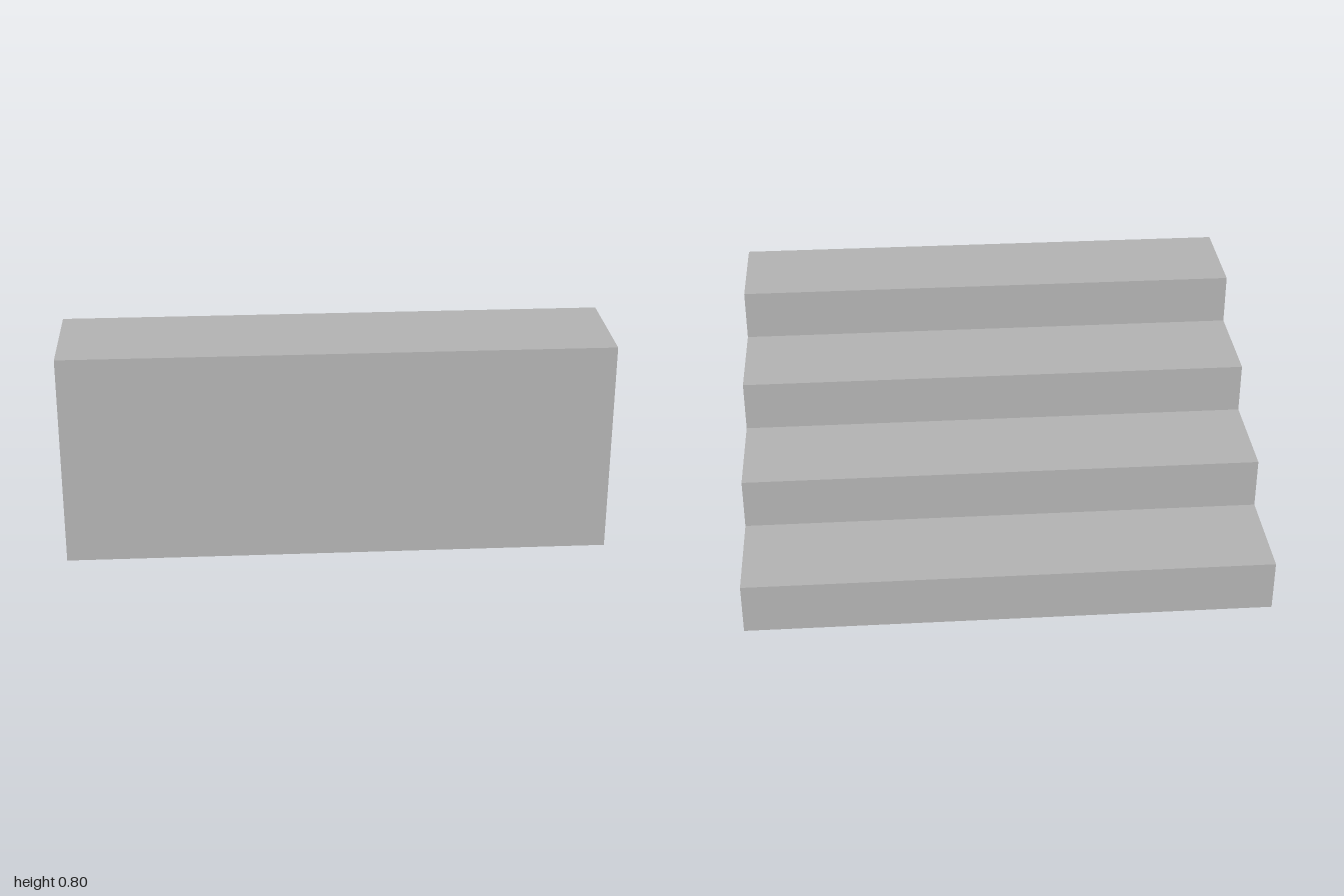
import * as THREE from 'three';

const STEPS = 4, WIDTH = 2, RISE = 0.2, TREAD = 0.4;

export function createModel() {
  const group = new THREE.Group();
  group.name = 'staircase';

  const stone = new THREE.MeshStandardMaterial({ color: 0xb2b2b2 });
  stone.name = 'grey stone';

  // Stepped side profile: tall at the front (+z), descending to the back
  const half = (STEPS * TREAD) / 2;
  const profile = new THREE.Shape();
  profile.moveTo(-half, 0);
  profile.lineTo(half, 0);
  for (let i = 0; i < STEPS; i++) {
    const y = (i + 1) * RISE;
    profile.lineTo(half - i * TREAD, y);
    profile.lineTo(half - (i + 1) * TREAD, y);
  }
  profile.closePath();

  // Extrude across the width; the turn maps profile x to -z
  const geometry = new THREE.ExtrudeGeometry(profile, { depth: WIDTH, bevelEnabled: false });
  geometry.translate(0, 0, -WIDTH / 2);
  geometry.rotateY(Math.PI / 2);

  const steps = new THREE.Mesh(geometry, stone);
  steps.name = 'steps';
  group.add(steps);
  return group;
}
